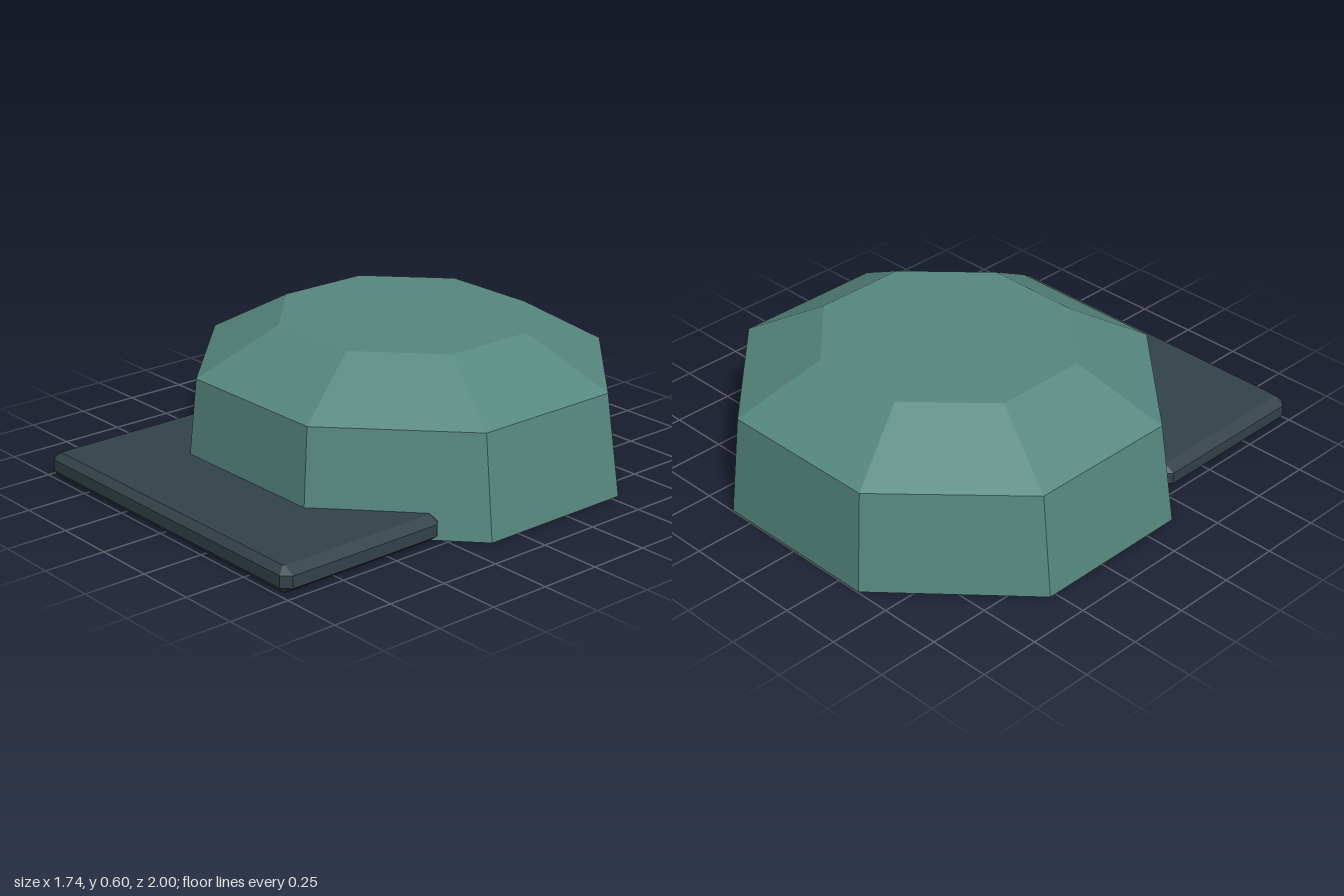
import * as THREE from 'three';

// Each ring is an eight-sided outline: [y, halfX, halfZ, cornerX, cornerZ]
function loftOctagons(rings) {
  const points = [];
  for (const [y, hx, hz, cx, cz] of rings) {
    points.push(
      hx, y, cz, hx, y, -cz, cx, y, -hz, -cx, y, -hz,
      -hx, y, -cz, -hx, y, cz, -cx, y, hz, cx, y, hz);
  }
  const index = [];
  for (let r = 0; r < rings.length - 1; r++) {
    for (let i = 0; i < 8; i++) {
      const a = r * 8 + i, b = r * 8 + (i + 1) % 8;
      index.push(a, b, b + 8, a, b + 8, a + 8);
    }
  }
  // Closed bottom and top
  const top = (rings.length - 1) * 8;
  for (let i = 1; i < 7; i++) {
    index.push(0, i + 1, i, top, top + i, top + i + 1);
  }
  const geometry = new THREE.BufferGeometry();
  geometry.setAttribute('position', new THREE.Float32BufferAttribute(points, 3));
  geometry.setIndex(index);
  const flat = geometry.toNonIndexed();
  flat.computeVertexNormals();
  return flat;
}

export function createModel() {
  const model = new THREE.Group();
  model.name = 'cap';

  const capGreen = new THREE.MeshStandardMaterial({ color: 0x56887f });
  capGreen.name = 'cap green';
  const brimSlate = new THREE.MeshStandardMaterial({ color: 0x334249 });
  brimSlate.name = 'brim slate';

  // Crown: steep sides, then a sloped shoulder to a flat top
  const crown = new THREE.Mesh(loftOctagons([
    [0.004, 0.868, 0.805, 0.355, 0.335],
    [0.413, 0.81, 0.767, 0.337, 0.318],
    [0.6, 0.49, 0.465, 0.203, 0.193],
  ]), capGreen);
  crown.name = 'crown';
  crown.position.z = -0.195;

  // Brim: flat slab with chamfered edges
  const brim = new THREE.Mesh(loftOctagons([
    [0, 0.695, 0.343, 0.69, 0.338],
    [0.03, 0.738, 0.37, 0.705, 0.337],
    [0.078, 0.738, 0.37, 0.705, 0.337],
    [0.105, 0.695, 0.343, 0.69, 0.338],
  ]), brimSlate);
  brim.name = 'brim';
  brim.position.z = 0.63;

  model.add(crown, brim);
  return model;
}
